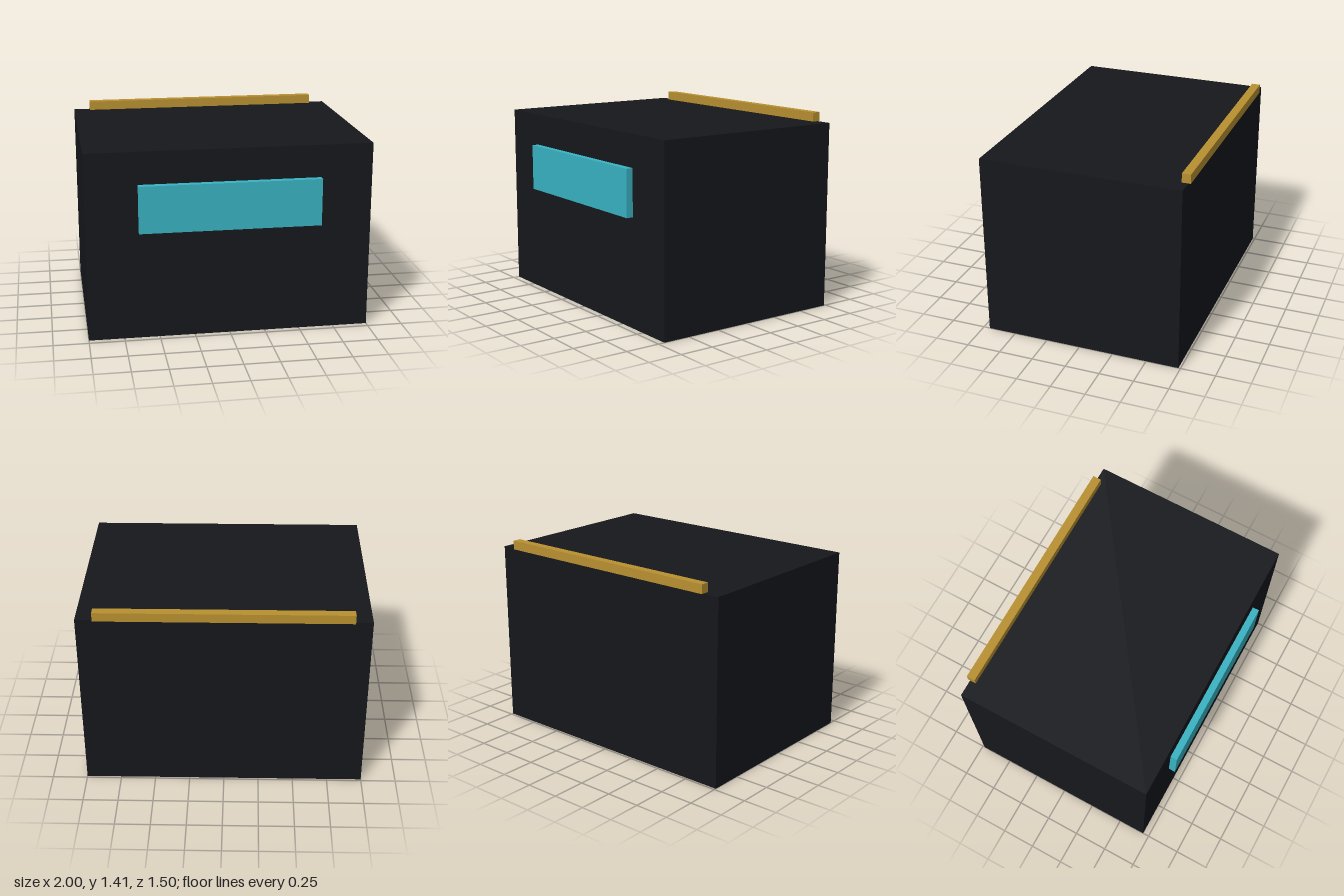
import * as THREE from 'three';

// Box given by its lower and upper corners
function block(name, color, [x0, y0, z0], [x1, y1, z1]) {
  const mesh = new THREE.Mesh(
    new THREE.BoxGeometry(x1 - x0, y1 - y0, z1 - z0),
    new THREE.MeshStandardMaterial({ color })
  );
  mesh.position.set((x0 + x1) / 2, (y0 + y1) / 2, (z0 + z1) / 2);
  mesh.name = name;
  return mesh;
}

export function createModel() {
  const group = new THREE.Group();
  group.name = 'cabinet';
  group.add(
    // Dark main body
    block('body', 0x15171b, [-1, 0, -0.735], [1, 1.345, 0.703]),
    // Raised panel on the front
    block('frontPanel', 0x38b2c2, [-0.637, 0.78, 0.703], [0.637, 1.115, 0.752]),
    // Strip along the top rear edge, slightly overhanging the back
    block('rearStrip', 0xb89030, [-0.88, 1.345, -0.752], [0.88, 1.41, -0.69])
  );
  return group;
}
